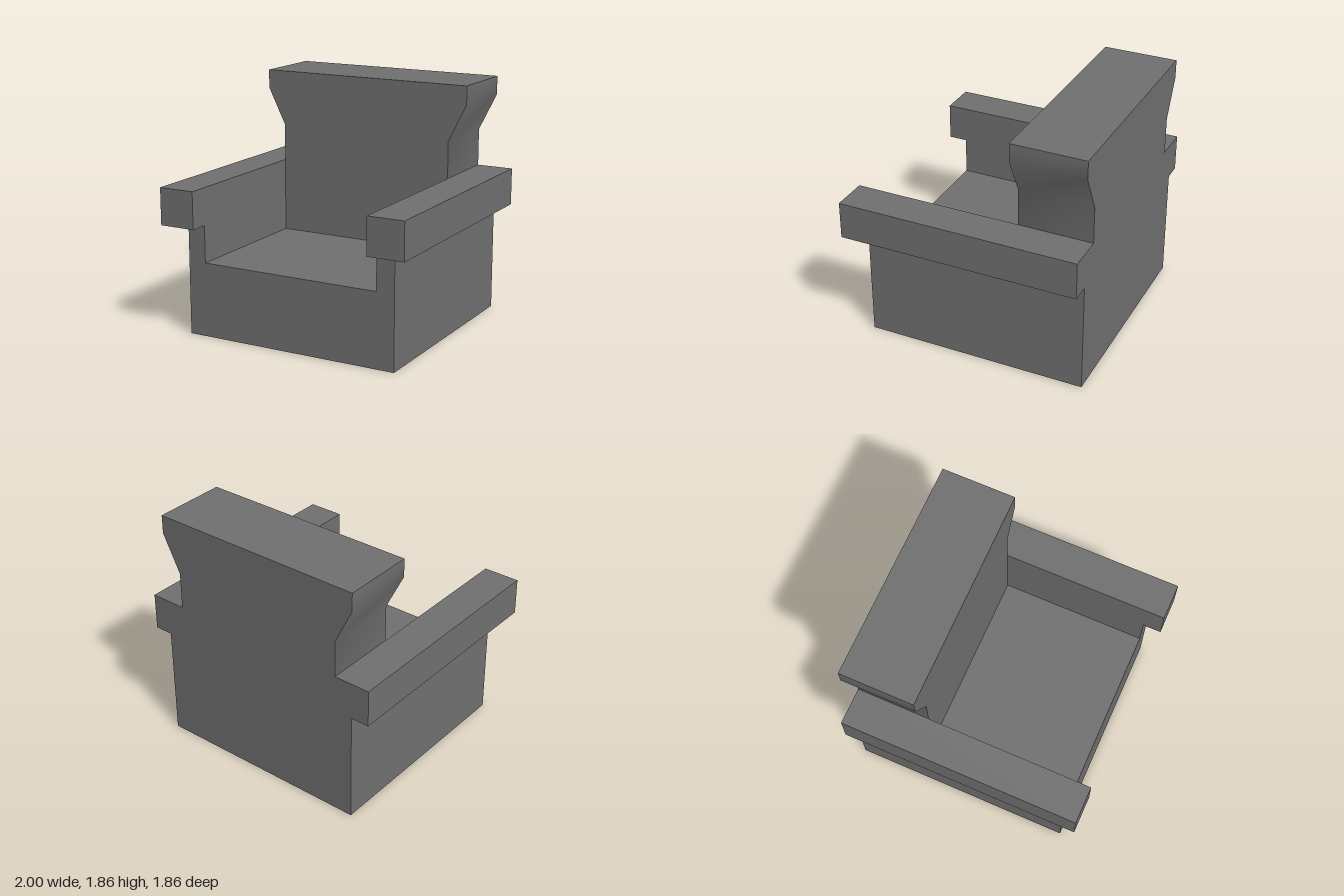
import * as THREE from 'three';
import { toCreasedNormals } from 'three/addons/utils/BufferGeometryUtils.js';

const U = 1 / 7; // design unit: the chair is 14 units wide
const BACK_Z = -6.5;

export function createModel() {
  const chair = new THREE.Group();
  chair.name = 'armchair';
  const material = new THREE.MeshStandardMaterial({ color: 0x707070 });

  // Extrudes a front-facing outline forward from the rear plane (all in units).
  // Gentle bends are shaded smoothly, square corners stay sharp.
  function addPart(name, outline, depth) {
    const shape = new THREE.Shape(outline.map(([x, y]) => new THREE.Vector2(x * U, y * U)));
    const geometry = new THREE.ExtrudeGeometry(shape, { depth: depth * U, bevelEnabled: false });
    geometry.translate(0, 0, BACK_Z * U);
    const mesh = new THREE.Mesh(toCreasedNormals(geometry, Math.PI / 5), material);
    mesh.name = name;
    chair.add(mesh);
  }

  // Completes a right-hand half outline by mirroring it.
  const mirrored = (half) => [...half, ...half.map(([x, y]) => [-x, y]).reverse()];

  // Solid base with the seat recessed between two side panels
  addPart('seatBase', mirrored([[6, 0], [6, 6], [5, 6], [5, 4]]), 12);

  // Backrest, straight at the bottom and flaring out to the headrest
  addPart('backrest', mirrored([[5, 4], [5, 10], [6, 12], [6, 13]]), 4);

  // Armrests overhang the side panels outward and to the front
  for (const [name, side] of [['leftArmrest', 1], ['rightArmrest', -1]]) {
    const arm = new THREE.Mesh(new THREE.BoxGeometry(2 * U, 2 * U, 13 * U), material);
    arm.position.set(side * 6 * U, 7 * U, 0);
    arm.name = name;
    chair.add(arm);
  }

  return chair;
}
